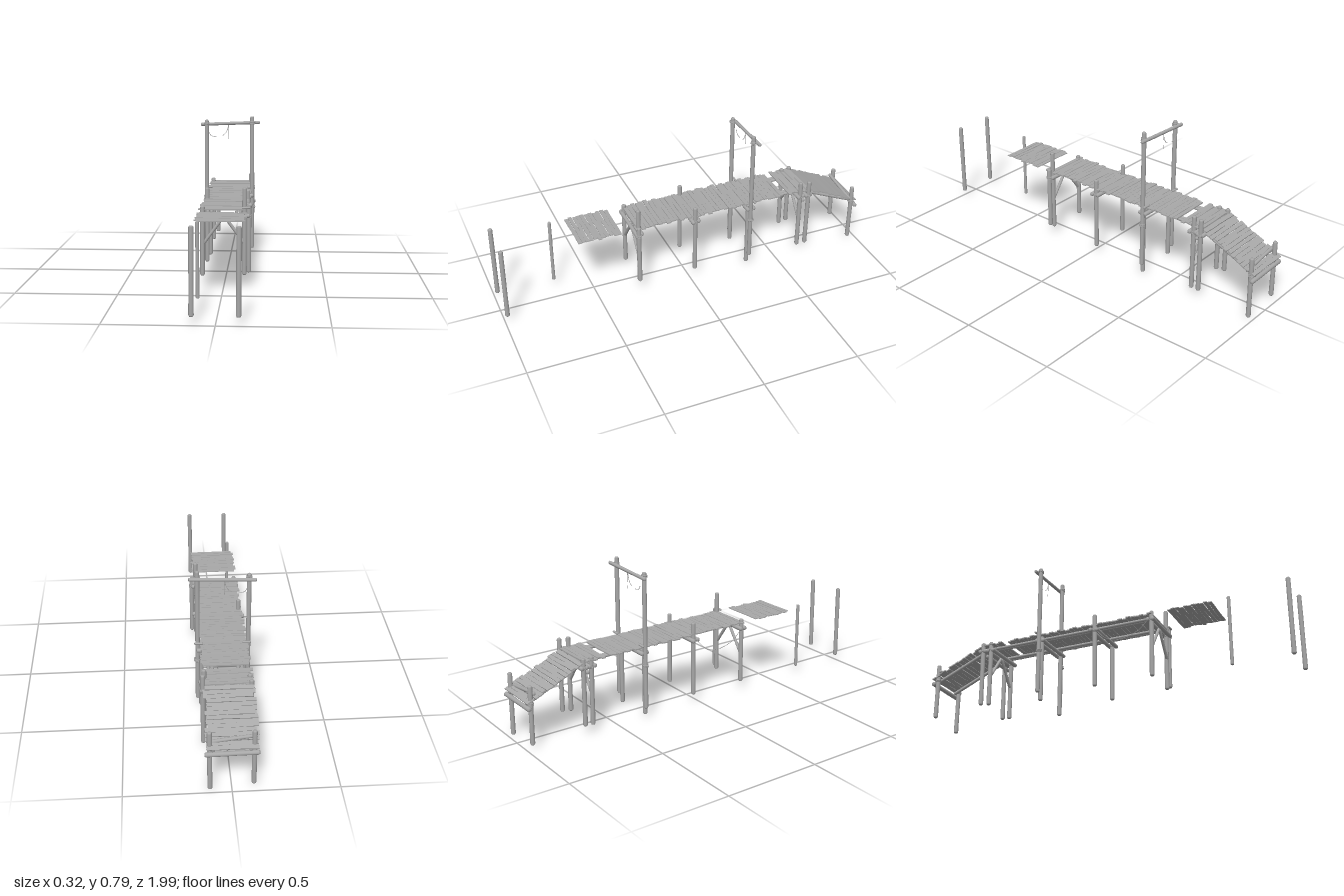
import * as THREE from 'three';

export function createModel() {
  const model = new THREE.Group();
  model.name = 'footbridge';
  const wood = new THREE.MeshStandardMaterial({ color: 0xa8a8a8 });
  wood.name = 'weathered wood';

  let seed = 7;
  const rnd = () => (seed = (seed * 16807) % 2147483647) / 2147483647;
  const jit = (a) => (rnd() * 2 - 1) * a;
  const V = (x, y, z) => new THREE.Vector3(x, y, z);
  const UP = V(0, 1, 0);

  const add = (name, geo) => {
    const m = new THREE.Mesh(geo, wood);
    m.name = name;
    model.add(m);
    return m;
  };

  // Round log between two points, with worn ends and a slightly uneven girth
  function log(name, a, b, r) {
    const dir = b.clone().sub(a), L = dir.length(), c = Math.min(r * 0.5, L * 0.2);
    const pts = [[0, 0], [r * 0.7, 0], [r, c], [r * 0.94, L * 0.35], [r, L * 0.7], [r * 0.96, L - c], [r * 0.65, L], [0, L]];
    const m = add(name, new THREE.LatheGeometry(pts.map(([x, y]) => new THREE.Vector2(x, y)), 12));
    m.position.copy(a);
    m.quaternion.setFromUnitVectors(UP, dir.normalize());
    return m;
  }
  const post = (x, z, y0, y1, r = 0.012) => log('post', V(x, y0, z), V(x + jit(0.002), y1, z + jit(0.002)), r);

  // Rope through a few points
  const rope = (name, pts, r = 0.0015) =>
    add(name, new THREE.TubeGeometry(new THREE.CatmullRomCurve3(pts.map((p) => V(...p))), 20, r, 5));

  // Rope lashing wound round a post
  function lashing(x, y, z, r = 0.0135) {
    for (let i = -1; i <= 1; i++) {
      const t = add('lashing', new THREE.TorusGeometry(r, 0.0025, 6, 14));
      t.position.set(x, y + i * 0.0045, z);
      t.rotation.set(Math.PI / 2 + jit(0.15), jit(0.15), 0);
    }
  }

  // Plank with ragged ends
  function plank(width, thick) {
    const x0 = -0.121 + jit(0.008), x1 = 0.112 + jit(0.009);
    const g = new THREE.BoxGeometry(x1 - x0, thick, width, 4, 1, 1);
    const p = g.attributes.position;
    const skew = jit(0.0015);
    for (let i = 0; i < p.count; i++) {
      const wave = Math.sin(p.getX(i) * 31 + skew * 2000) * 0.001;
      p.setZ(i, p.getZ(i) + wave + p.getX(i) * skew * 8);
    }
    g.computeVertexNormals();
    const m = add('plank', g);
    m.position.x = (x0 + x1) / 2;
    return m;
  }

  // Row of planks from one (z, y) to another
  function deck(z0, y0, z1, y1, n, thick) {
    const tilt = Math.atan2(y1 - y0, z1 - z0);
    const step = Math.hypot(z1 - z0, y1 - y0) / n;
    for (let i = 0; i < n; i++) {
      const t = (i + 0.5) / n;
      const m = plank(step * (0.93 + jit(0.05)), thick);
      m.position.y = y0 + (y1 - y0) * t + jit(0.0012);
      m.position.z = z0 + (z1 - z0) * t;
      m.rotation.set(-tilt + jit(0.02), jit(0.008), jit(0.006));
    }
  }
  deck(-0.54, 0.383, 0.287, 0.383, 36, 0.006);
  deck(-0.692, 0.383, -0.568, 0.383, 6, 0.006);
  deck(-0.993, 0.243, -0.694, 0.378, 15, 0.006);
  deck(0.37, 0.384, 0.6, 0.384, 11, 0.004);

  // Stringers under the level deck and the ramp
  for (const x of [-0.08, -0.062, 0.062, 0.08]) log('stringer', V(x, 0.372, -0.69), V(x, 0.372, 0.287), 0.008);
  for (const x of [-0.085, 0.085]) log('rampStringer', V(x, 0.362, -0.68), V(x, 0.229, -0.985), 0.009);

  // Free-standing posts ahead of the deck
  post(-0.105, 0.985, 0.04, 0.438);
  post(0.1, 0.985, 0.04, 0.438);
  post(-0.1, 0.685, 0.04, 0.4, 0.009);

  // Bents: posts [x, z, bottom, top] and the z of their cross beams
  const bents = [
    { beams: [0.266, 0.292], posts: [[-0.108, 0.28, 0.05, 0.4], [0.1, 0.277, 0.055, 0.492], [0.122, 0.283, 0.07, 0.4]] },
    { beams: [-0.015, -0.047], posts: [[-0.105, -0.031, 0.05, 0.442], [0.108, -0.031, 0.05, 0.432]] },
    { beams: [-0.326, -0.358], posts: [[-0.108, -0.335, 0.02, 0.375], [0.104, -0.335, 0.01, 0.375]] },
    { beams: [-0.626, -0.656], posts: [[-0.108, -0.64, 0.045, 0.4], [0.108, -0.64, 0.04, 0.435]] },
    { beams: [-0.672, -0.699], posts: [[-0.112, -0.685, 0.05, 0.4], [0.114, -0.685, 0.045, 0.435]] },
  ];
  for (const { beams, posts } of bents) {
    for (const [x, z, y0, y1] of posts) {
      post(x, z, y0, y1);
      lashing(x, 0.352, z);
    }
    for (const z of beams) log('crossBeam', V(-0.13 + jit(0.006), 0.352, z), V(0.127 + jit(0.006), 0.354, z), 0.011);
  }

  // Inverted V braces
  for (const z of [0.28, -0.64])
    for (const s of [-1, 1]) log('brace', V(s * 0.1, 0.215, z), V(s * 0.005, 0.345, z), 0.008);

  // Short ties fixed beside the front and gate posts
  for (const [x, z] of [[0.11, 0.296], [0.118, -0.36], [-0.118, -0.36]])
    log('shortTie', V(x - 0.022, 0.394, z), V(x + 0.02, 0.396, z), 0.006);
  lashing(-0.128, 0.29, -0.342);
  lashing(0.124, 0.29, -0.342);

  // Ramp foot: posts, low rail and sloping beams
  for (const x of [-0.102, 0.1]) {
    post(x, -0.968, x < 0 ? 0.025 : 0.003, 0.325);
    lashing(x, 0.235, -0.968);
  }
  log('rampBeam', V(-0.125, 0.216, -0.985), V(0.125, 0.213, -0.985), 0.012);
  log('rampBeam', V(-0.115, 0.286, -0.952), V(0.115, 0.258, -0.952), 0.009);
  log('lowBeam', V(-0.115, 0.322, -0.66), V(0.115, 0.322, -0.66), 0.01);

  // Tall gate
  post(-0.128, -0.342, 0.06, 0.77, 0.0115);
  post(0.122, -0.342, 0.06, 0.79, 0.0115);
  log('gateBeam', V(-0.162, 0.744, -0.359), V(0.162, 0.756, -0.359), 0.009);
  lashing(-0.128, 0.75, -0.342);
  lashing(0.122, 0.755, -0.342);

  // Hanging ropes
  rope('gateRope', [[-0.118, 0.702, -0.36], [-0.108, 0.685, -0.36], [-0.09, 0.677, -0.36], [-0.075, 0.676, -0.36]]);
  rope('gateRope', [[-0.042, 0.683, -0.36], [-0.025, 0.698, -0.36], [-0.014, 0.722, -0.36], [-0.009, 0.746, -0.36]]);
  rope('gateRopeEnd', [[-0.009, 0.746, -0.362], [-0.008, 0.7, -0.362], [-0.009, 0.662, -0.362]], 0.001);
  rope('sideRope', [[-0.122, 0.352, 0.27], [-0.122, 0.298, 0.21], [-0.122, 0.272, 0.11], [-0.122, 0.29, 0.04], [-0.118, 0.35, -0.02]]);

  return model;
}
